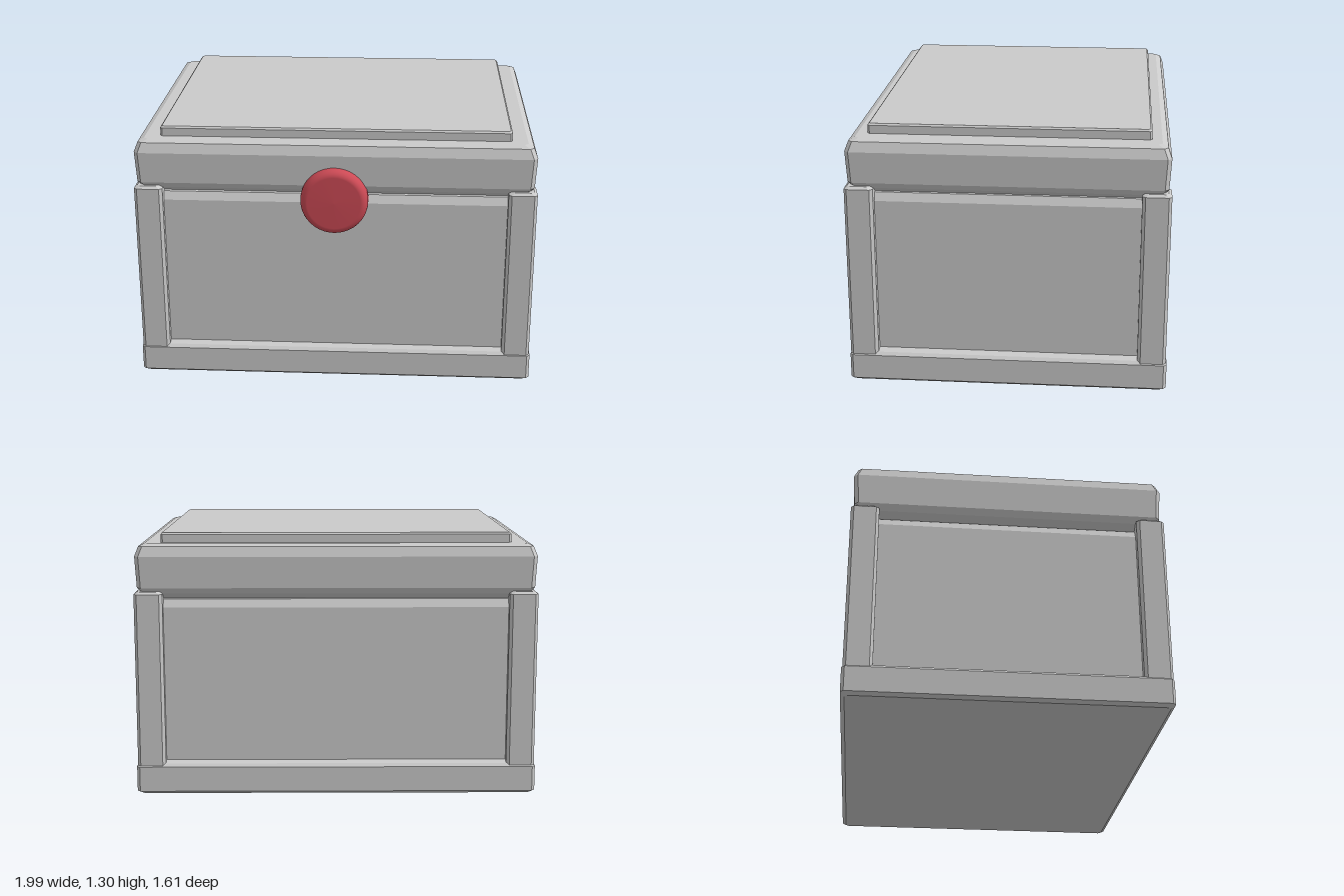
import * as THREE from 'three';

const grey = new THREE.MeshStandardMaterial({ color: 0xcacaca });
grey.name = 'light grey';
const red = new THREE.MeshStandardMaterial({ color: 0xcc4a55 });
red.name = 'red';

// Rectangle with cut corners, lofted through [height, inset] rings and capped.
function block(name, [x0, x1], [z0, z1], corner, profile) {
  const rings = profile.map(([y, inset]) => {
    const a = x0 + inset, b = x1 - inset, c = z0 + inset, d = z1 - inset, k = corner;
    return [[a + k, d], [b - k, d], [b, d - k], [b, c + k], [b - k, c], [a + k, c], [a, c + k], [a, d - k]]
      .map(([x, z]) => [x, y, z]);
  });
  const pos = [];
  const tri = (...points) => points.forEach((p) => pos.push(...p));
  for (let r = 0; r < rings.length - 1; r++) {
    for (let i = 0; i < 8; i++) {
      const j = (i + 1) % 8;
      tri(rings[r][i], rings[r][j], rings[r + 1][j]);
      tri(rings[r][i], rings[r + 1][j], rings[r + 1][i]);
    }
  }
  const bottom = rings[0], top = rings[rings.length - 1];
  for (let i = 1; i < 7; i++) {
    tri(top[0], top[i], top[i + 1]);
    tri(bottom[0], bottom[i + 1], bottom[i]);
  }
  const geometry = new THREE.BufferGeometry();
  geometry.setAttribute('position', new THREE.Float32BufferAttribute(pos, 3));
  geometry.computeVertexNormals();
  const mesh = new THREE.Mesh(geometry, grey);
  mesh.name = name;
  return mesh;
}

export function createModel() {
  const model = new THREE.Group();
  model.name = 'chest';

  // Base plinth and recessed walls
  model.add(block('base', [-0.997, 0.997], [-0.805, 0.768], 0.015,
    [[0, 0.02], [0.015, 0], [0.14, 0], [0.155, 0.015], [0.165, 0.05]]));
  model.add(block('body', [-0.945, 0.945], [-0.755, 0.72], 0.02,
    [[0.1, 0], [0.94, 0], [0.98, 0.02], [0.99, 0.05]]));

  // Corner posts
  for (const side of [-1, 1]) {
    const xs = side < 0 ? [-0.992, -0.852] : [0.852, 0.992];
    for (const zs of [[0.625, 0.765], [-0.8, -0.66]]) {
      model.add(block('cornerPost', xs, zs, 0.015, [[0.1, 0], [1.01, 0], [1.022, 0.015]]));
    }
  }

  // Lid with sloping underside, and the raised panel on top
  model.add(block('lid', [-0.985, 0.985], [-0.793, 0.756], 0.02,
    [[0.975, 0.08], [1.01, 0.03], [1.04, 0.008], [1.195, 0], [1.243, 0.018], [1.255, 0.045]]));
  model.add(block('lidPanel', [-0.865, 0.865], [-0.7, 0.662], 0.01,
    [[1.22, 0], [1.295, 0], [1.304, 0.008]]));

  // Round clasp, turned about the z axis
  const outline = [new THREE.Vector2(0, 0), new THREE.Vector2(0.15, 0), new THREE.Vector2(0.167, 0.02)];
  for (let i = 0; i <= 6; i++) {
    const a = (i / 6) * Math.PI / 2;
    outline.push(new THREE.Vector2(0.132 + 0.035 * Math.cos(a), 0.06 + 0.042 * Math.sin(a)));
  }
  outline.push(new THREE.Vector2(0, 0.105));
  const clasp = new THREE.Mesh(new THREE.LatheGeometry(outline, 40), red);
  clasp.name = 'clasp';
  clasp.rotation.x = Math.PI / 2;
  clasp.position.set(0, 0.968, 0.702);
  model.add(clasp);

  return model;
}
